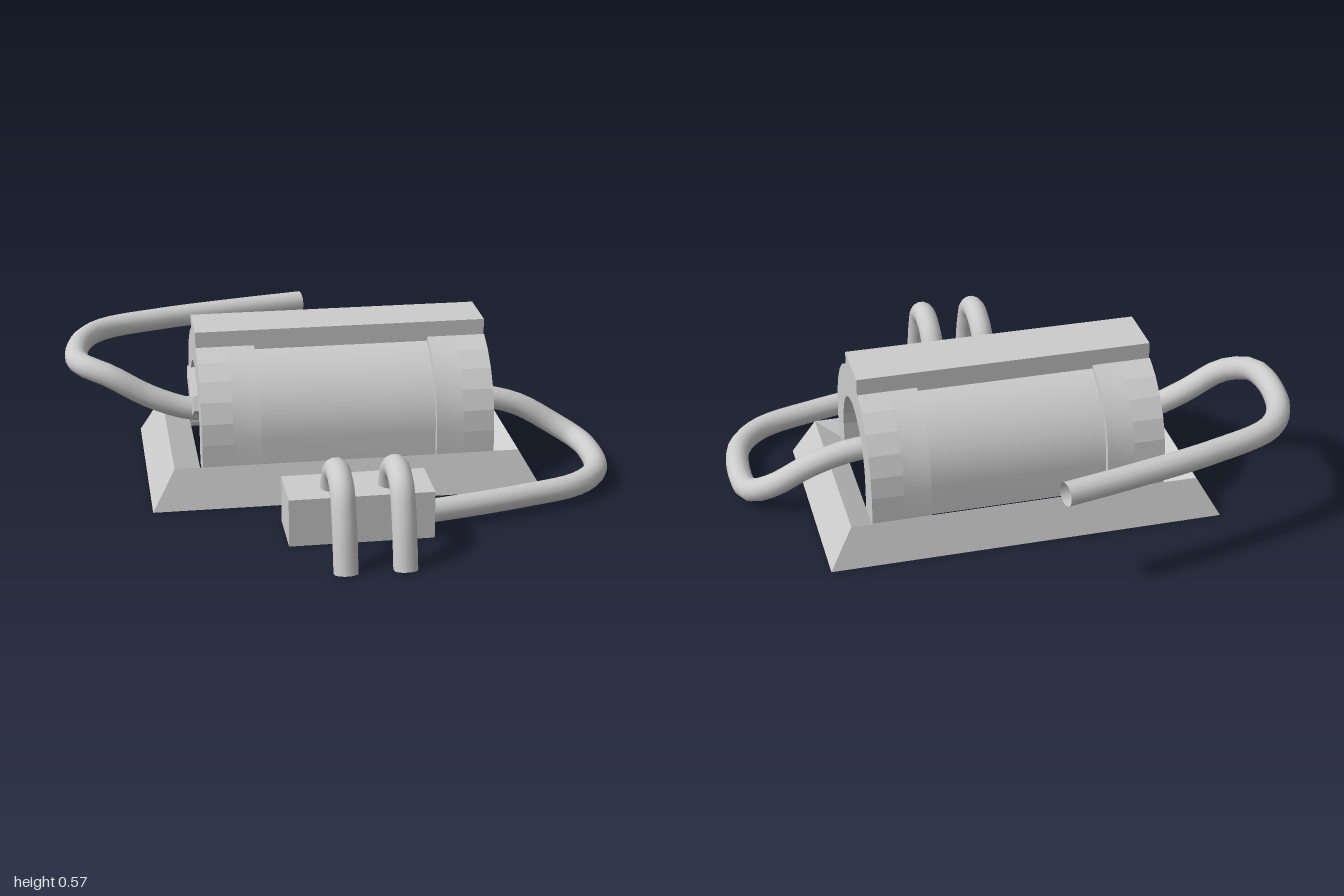
import * as THREE from 'three';

const ZC = -0.135, YC = 0.215, FLOOR = 0.1;
const grey = new THREE.MeshStandardMaterial({ color: 0xcccccc, side: THREE.DoubleSide });
const flat = new THREE.MeshStandardMaterial({ color: 0xcccccc, side: THREE.DoubleSide, flatShading: true });

function add(parent, name, geometry, material = grey) {
  const mesh = new THREE.Mesh(geometry, material);
  mesh.name = name;
  parent.add(mesh);
  return mesh;
}

// Joins a stack of rectangles [x0, x1, z0, z1, y] with sloping walls
function rectBands(rects) {
  const pos = [];
  const corners = ([x0, x1, z0, z1, y]) => [[x0, y, z1], [x1, y, z1], [x1, y, z0], [x0, y, z0]];
  for (let i = 0; i < rects.length - 1; i++) {
    const a = corners(rects[i]), b = corners(rects[i + 1]);
    for (let k = 0; k < 4; k++) {
      const n = (k + 1) % 4;
      pos.push(...a[k], ...a[n], ...b[n], ...a[k], ...b[n], ...b[k]);
    }
  }
  const g = new THREE.BufferGeometry();
  g.setAttribute('position', new THREE.Float32BufferAttribute(pos, 3));
  g.computeVertexNormals();
  return g;
}

// Horseshoe outline from foot to foot, as [offset from axis, height]
function archPoints(r, from = 0, to = Math.PI, steps = 10) {
  const pts = [];
  if (from === 0) pts.push([r, FLOOR]);
  for (let i = 0; i <= steps; i++) {
    const a = from + (to - from) * i / steps;
    pts.push([Math.cos(a) * r, YC + Math.sin(a) * r]);
  }
  if (to === Math.PI) pts.push([-r, FLOOR]);
  return pts;
}

// Thin curved sheet along x following an arch
function shell(x0, x1, pts) {
  const g = new THREE.PlaneGeometry(1, 1, 1, pts.length - 1);
  const p = g.attributes.position;
  for (let i = 0; i < p.count; i++) {
    const [u, y] = pts[Math.floor(i / 2)];
    p.setXYZ(i, i % 2 ? x1 : x0, y, ZC + u);
  }
  g.computeVertexNormals();
  return g;
}

function ringShape(outerPts, inner) {
  const pts = [...outerPts, ...archPoints(inner, 0, Math.PI, 14).reverse()];
  return new THREE.Shape(pts.map(([u, y]) => new THREE.Vector2(u, y)));
}

function alongX(geometry, x) {
  return geometry.rotateY(Math.PI / 2).translate(x, 0, ZC);
}

function cable(points, radius = 0.043) {
  const curve = new THREE.CatmullRomCurve3(points.map(p => new THREE.Vector3(...p)));
  return new THREE.TubeGeometry(curve, 40, radius, 14);
}

export function createModel() {
  const model = new THREE.Group();

  // Sloping frame with a sunken open middle
  add(model, 'base', rectBands([
    [-0.715, 0.725, -0.555, 0.27, 0],
    [-0.63, 0.64, -0.51, 0.225, 0.147],
    [-0.53, 0.555, -0.44, 0.17, FLOOR],
  ]), flat);

  // Housing: slimmer middle, collars and end rings
  const housing = new THREE.Group();
  housing.name = 'housing';
  model.add(housing);
  add(housing, 'middleShell', shell(-0.31, 0.34, archPoints(0.3, 0, Math.PI, 20)));

  const gap = 0.36, half = Math.PI / 2;
  const sideA = archPoints(0.325, 0, half - gap, 5);
  const sideB = archPoints(0.325, half + gap, Math.PI, 5);
  const notched = [...sideA, [0.105, 0.51], [-0.105, 0.51], ...sideB];
  for (const [end, inner, step] of [[-0.525, -0.41, -0.31], [0.555, 0.44, 0.34]]) {
    const ring = new THREE.ExtrudeGeometry(ringShape(notched, 0.205), { depth: 0.115, bevelEnabled: false });
    add(housing, 'endRing', alongX(ring, Math.min(end, inner)), flat);
    const lo = Math.min(inner, step), hi = Math.max(inner, step);
    for (const side of [sideA, sideB]) add(housing, 'collar', shell(lo, hi, side));
    add(housing, 'collarStep', alongX(new THREE.ShapeGeometry(ringShape(notched, 0.3)), step), flat);
  }
  const rail = add(housing, 'topRail', new THREE.BoxGeometry(1.08, 0.075, 0.21), flat);
  rail.position.set(0.015, 0.5375, ZC);

  // Spread arms holding each cable in its end opening
  for (const x of [-0.515, 0.47]) {
    for (const s of [-1, 1]) {
      const arm = add(housing, 'cableArm', new THREE.BoxGeometry(0.05, 0.055, 0.2), flat);
      const tilt = 0.47;
      arm.position.set(x, 0.235 + Math.sin(tilt) * 0.1, ZC + s * Math.cos(tilt) * 0.1);
      arm.rotation.x = -s * tilt;
    }
  }

  // Cable from the left end to the connector box
  add(model, 'leftCable', cable([
    [0.46, 0.235, -0.14], [0.58, 0.225, -0.14], [0.72, 0.185, -0.138], [0.86, 0.105, -0.115],
    [0.935, 0.065, -0.06], [0.955, 0.06, 0.05], [0.93, 0.06, 0.25], [0.83, 0.06, 0.37],
    [0.6, 0.06, 0.45], [0.25, 0.06, 0.53], [0.1, 0.06, 0.555],
  ]));

  // Loose cable from the right end sweeping round the back
  add(model, 'rightCable', cable([
    [-0.48, 0.23, -0.14], [-0.56, 0.24, -0.143], [-0.7, 0.295, -0.148], [-0.84, 0.375, -0.165],
    [-0.93, 0.4, -0.22], [-0.957, 0.4, -0.31], [-0.925, 0.4, -0.52], [-0.84, 0.4, -0.64],
    [-0.6, 0.4, -0.735], [-0.3, 0.4, -0.81], [-0.03, 0.4, -0.866],
  ]));

  // Connector box, open underneath
  add(model, 'connectorBox', rectBands([
    [-0.265, 0.25, 0.41, 0.625, 0], [-0.265, 0.25, 0.41, 0.625, 0.175], [0, 0, 0.52, 0.52, 0.175],
  ]), flat);

  // Two hooped hoses, trimmed level with the ground
  for (const x of [-0.1, 0.105]) {
    const hose = cable([
      [x, 0.1, 0.515], [x, 0.18, 0.53], [x, 0.255, 0.58], [x, 0.293, 0.675],
      [x, 0.262, 0.765], [x, 0.165, 0.815], [x, -0.005, 0.857],
    ]);
    const p = hose.attributes.position;
    for (let i = 0; i < p.count; i++) p.setY(i, Math.max(0, p.getY(i)));
    add(model, 'hose', hose);
  }
  return model;
}
